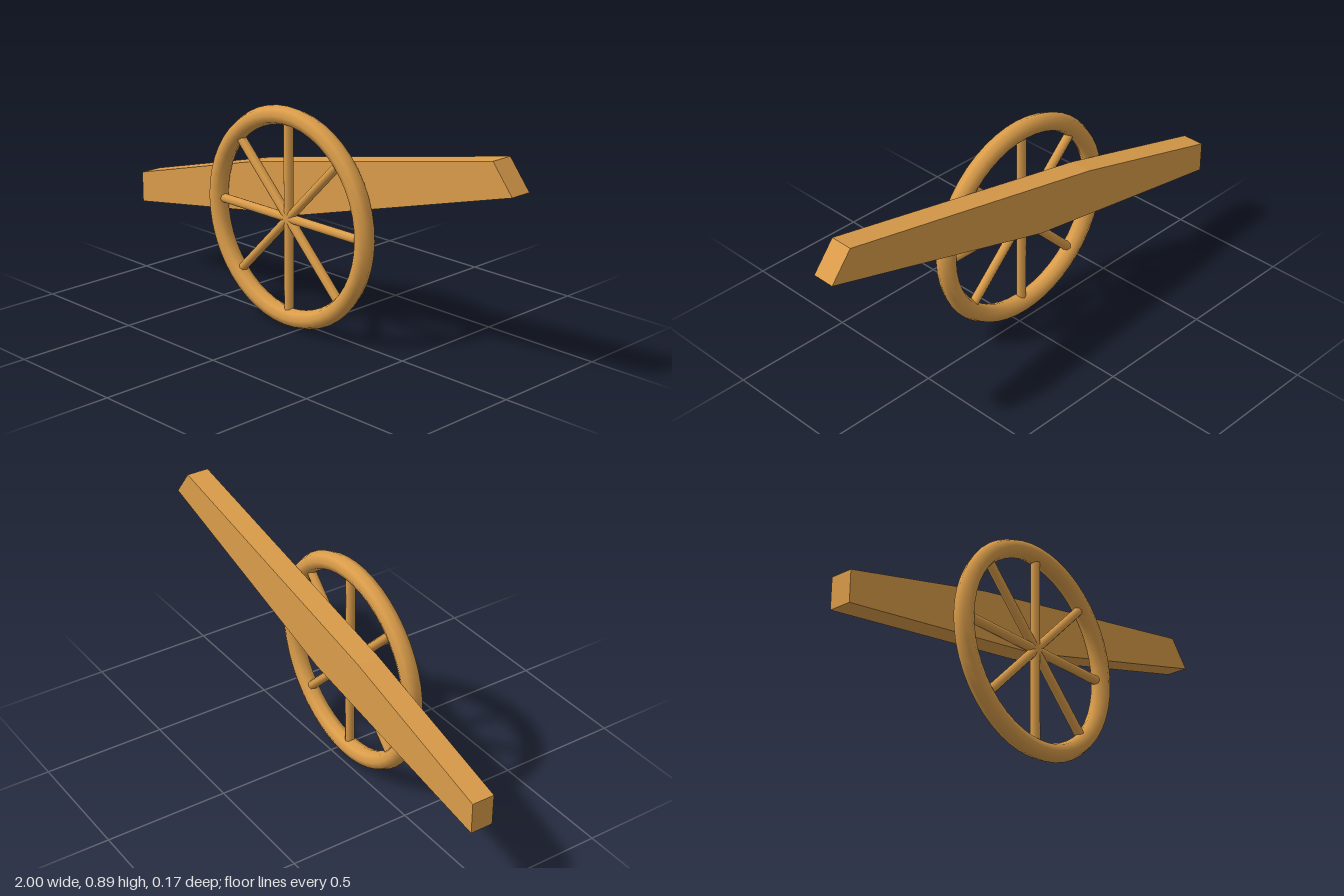
import * as THREE from 'three';

export function createModel() {
  const model = new THREE.Group();
  const wood = new THREE.MeshStandardMaterial({ color: 0xdb9d4a });
  wood.name = 'wood';

  // Bent beam, tapering towards both ends
  const outline = [[-1, 0.297], [-0.03, 0.455], [1, 0.75], [0.91, 0.862], [-0.3, 0.615], [-1, 0.425]];
  const shape = new THREE.Shape(outline.map(([x, y]) => new THREE.Vector2(x, y)));
  const beam = new THREE.Mesh(new THREE.ExtrudeGeometry(shape, { depth: 0.093, bevelEnabled: false }), wood);
  beam.name = 'beam';
  beam.position.z = -0.086;
  model.add(beam);

  // Spoked wheel standing beside the beam
  const wheel = new THREE.Group();
  wheel.name = 'wheel';
  wheel.position.set(-0.06, 0.445, 0.048);
  const rim = new THREE.Mesh(new THREE.TorusGeometry(0.405, 0.038, 8, 48), wood);
  rim.name = 'rim';
  wheel.add(rim);

  // Eight spokes from the centre to the rim
  const spokeLength = 0.395;
  const spokeGeometry = new THREE.CylinderGeometry(0.019, 0.019, spokeLength, 8);
  spokeGeometry.translate(0, spokeLength / 2, 0);
  for (let i = 0; i < 8; i++) {
    const spoke = new THREE.Mesh(spokeGeometry, wood);
    spoke.name = 'spoke';
    spoke.rotation.z = (i * Math.PI) / 4;
    wheel.add(spoke);
  }
  model.add(wheel);

  return model;
}
